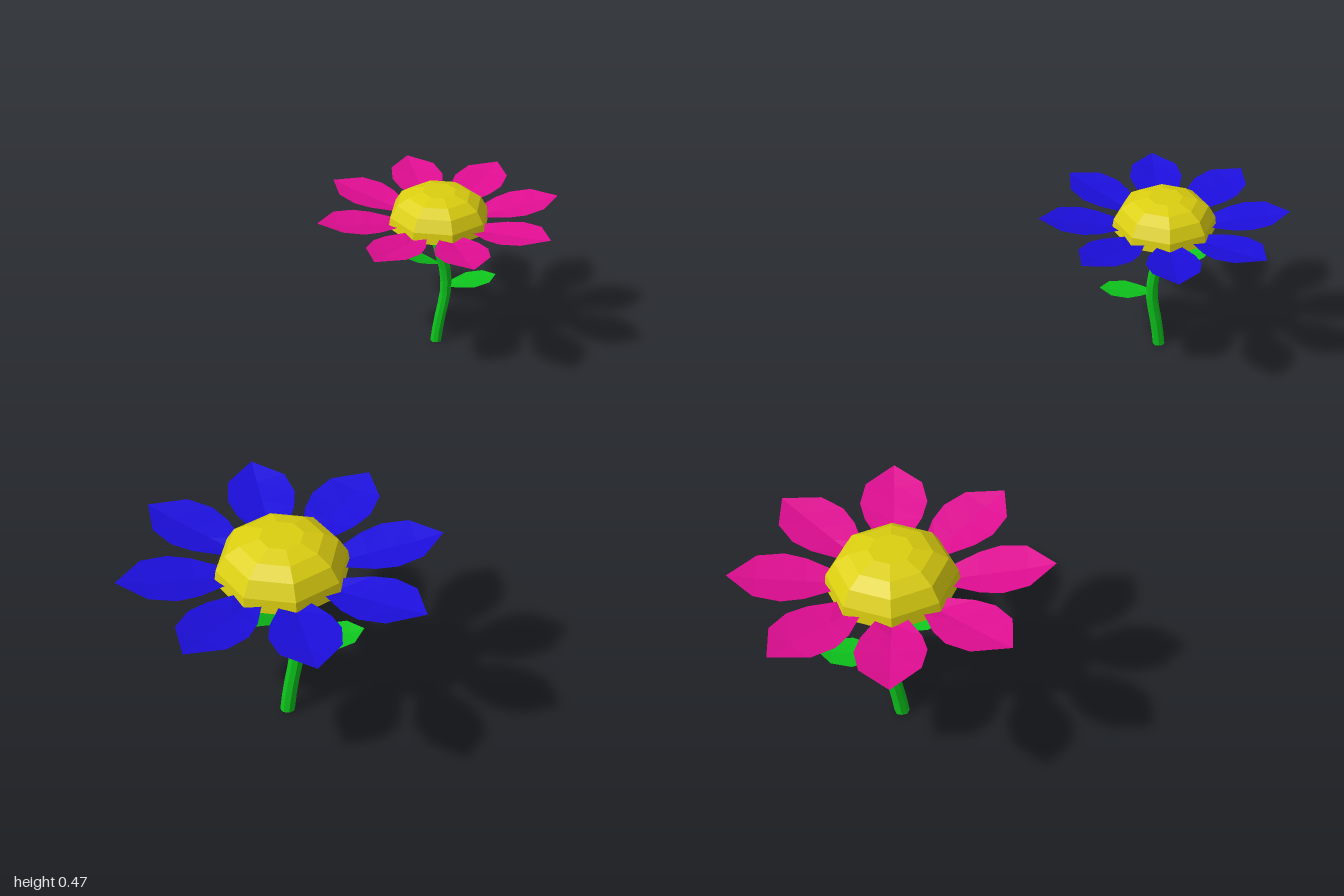
import * as THREE from 'three';

const material = (color) =>
  new THREE.MeshStandardMaterial({ color, flatShading: true, side: THREE.DoubleSide });

// Thin blade along +x from sections [distance, height, half width]; the midrib sinks a little.
function bladeGeometry(sections, sink) {
  const positions = [];
  const index = [];
  sections.forEach(([x, y, w], i) => {
    positions.push(x, y, -w, x, y - (w > 0 ? sink : 0), 0, x, y, w);
    if (i === 0) return;
    for (let k = 0; k < 2; k++) {
      const a = (i - 1) * 3 + k;
      const b = i * 3 + k;
      index.push(a, a + 1, b, a + 1, b + 1, b);
    }
  });
  const geometry = new THREE.BufferGeometry();
  geometry.setAttribute('position', new THREE.Float32BufferAttribute(positions, 3));
  geometry.setIndex(index);
  geometry.computeVertexNormals();
  return geometry;
}

function add(parent, name, geometry, mat) {
  const mesh = new THREE.Mesh(geometry, mat);
  mesh.name = name;
  parent.add(mesh);
  return mesh;
}

function createFlower(name, petalColor) {
  const flower = new THREE.Group();
  flower.name = name;
  const green = material(0x0dc41c);
  const yellow = material(0xdccf10);
  const petalMat = material(petalColor);

  // Bent stem with a closed foot
  const path = new THREE.CatmullRomCurve3(
    [[0, 0], [0.007, 0.055], [0.025, 0.165], [0.019, 0.235], [0, 0.305], [0, 0.38]]
      .map(([x, y]) => new THREE.Vector3(x, y, 0)));
  add(flower, 'stem', new THREE.TubeGeometry(path, 10, 0.016, 8), green);
  add(flower, 'stemFoot', new THREE.CircleGeometry(0.016, 8).rotateX(Math.PI / 2), green);

  // Two leaves on opposite sides of the stem
  const leaf = (length) => bladeGeometry(
    [[0, 0, 0.008], [0.25, 0, 0.028], [0.5, 0, 0.043], [0.8, 0, 0.035], [1, 0, 0]]
      .map(([t, y, w]) => [t * length, y, w]), 0.003);
  const lower = add(flower, 'lowerLeaf', leaf(0.146), green);
  lower.position.set(0.022, 0.171, 0);
  lower.rotation.z = 0.11;
  const upper = add(flower, 'upperLeaf', leaf(0.15), green);
  upper.position.set(0.002, 0.245, 0);
  upper.rotation.set(0, Math.PI, 0.44);

  // Faceted seed head, closed underneath
  const profile = [[0, 0.37], [0.138, 0.37], [0.134, 0.4], [0.115, 0.432],
    [0.085, 0.452], [0.045, 0.463], [0, 0.463]].map(([r, y]) => new THREE.Vector2(r, y));
  add(flower, 'seedHead', new THREE.LatheGeometry(profile, 8), yellow);

  // Ring of petals rising slightly outward
  const petal = bladeGeometry([[0.08, 0.382, 0.025], [0.125, 0.385, 0.034], [0.175, 0.392, 0.06],
    [0.22, 0.398, 0.071], [0.275, 0.405, 0.06], [0.332, 0.408, 0]], 0.008);
  for (let i = 0; i < 8; i++) {
    add(flower, 'petal', petal, petalMat).rotation.y = (i * Math.PI) / 4;
  }
  return flower;
}

export function createModel() {
  const model = new THREE.Group();
  model.name = 'flowers';
  const blue = createFlower('blueFlower', 0x1c0edc);
  blue.position.set(-0.347, 0, 0.668);
  const pink = createFlower('pinkFlower', 0xe00d92);
  pink.position.set(0.347, 0, -0.668);
  model.add(blue, pink);
  return model;
}
